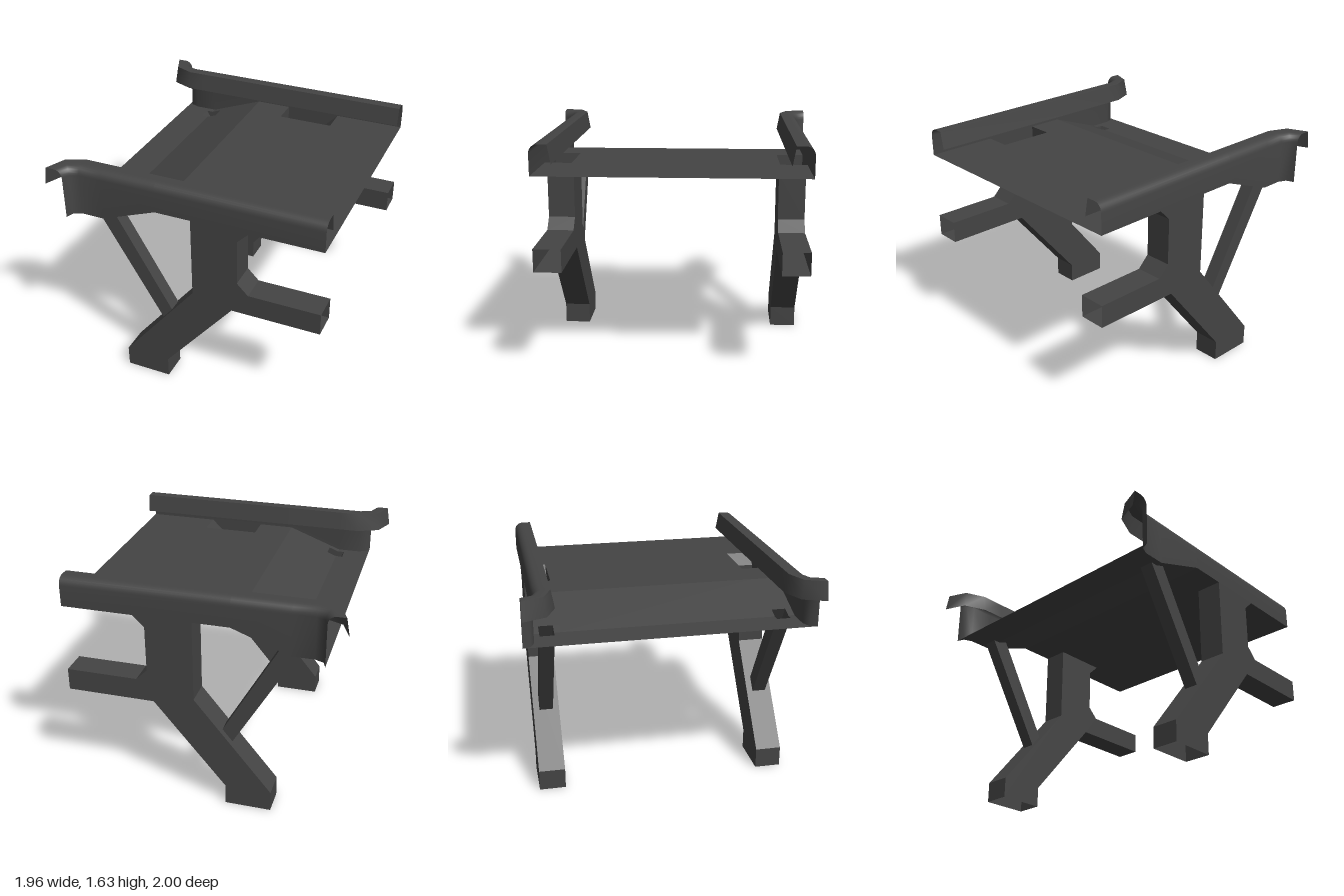
import * as THREE from 'three';
import { mergeGeometries, toCreasedNormals } from 'three/addons/utils/BufferGeometryUtils.js';

const material = new THREE.MeshStandardMaterial({ color: 0x444444, side: THREE.DoubleSide });

const FACE = 0.92;   // outer face of each side frame
const INNER = 0.73;  // inner face of each side frame

// Height of the deck and of the side panel's lower edge along x
function deckY(x) {
  const t = THREE.MathUtils.clamp((x + 0.6) / 0.4, 0, 1);
  return 1.27 + 0.15 * t;
}

function mesh(geometry, name) {
  const m = new THREE.Mesh(geometry, material);
  m.name = name;
  return m;
}

// Flat-shaded geometry from separate four-cornered faces
function quads(list) {
  const positions = [];
  for (const [a, b, c, d] of list) positions.push(...a, ...b, ...c, ...a, ...c, ...d);
  const g = new THREE.BufferGeometry();
  g.setAttribute('position', new THREE.Float32BufferAttribute(positions, 3));
  g.computeVertexNormals();
  return g;
}

// Hollow member: two flat faces and side walls, left open on the given edges
function hollow(outline, openEdges, z0, z1) {
  const shape = new THREE.Shape(outline.map(([x, y]) => new THREE.Vector2(x, y)));
  const faces = [z0, z1].map((z) => {
    const g = new THREE.ShapeGeometry(shape);
    if (z === z0) {
      const i = g.index.array;
      for (let k = 0; k < i.length; k += 3) [i[k], i[k + 1]] = [i[k + 1], i[k]];
    }
    const flat = g.translate(0, 0, z).toNonIndexed();
    flat.deleteAttribute('uv');
    flat.computeVertexNormals();
    return flat;
  });
  const walls = [];
  outline.forEach((a, i) => {
    if (openEdges.includes(i)) return;
    const b = outline[(i + 1) % outline.length];
    walls.push([[...a, z1], [...a, z0], [...b, z0], [...b, z1]]);
  });
  return mergeGeometries([...faces, quads(walls)]);
}

// Rail with side panel: stations pair a point on the outer wall with one on the inner lip
function railGeometry() {
  const stations = [
    [0.98, 0.92, 0.98, 0.775],
    [-0.2, 0.92, -0.2, 0.775],
    [-0.6, 0.92, -0.6, 0.775],
    [-0.76, 0.92, -0.76, 0.775],
    [-0.82, 0.945, -0.915, 0.84],
    [-0.84, 1.0, -0.98, 1.0],
  ];
  // Section as [fraction from wall to lip, height]
  const section = [];
  for (let i = 0; i <= 6; i++) {
    const a = (i / 6) * Math.PI / 2;
    section.push([0.4 * (1 - Math.cos(a)), 1.57 + 0.06 * Math.sin(a)]);
  }
  section.push([0.84, 1.63], [1, 1.5]);

  const rows = stations.map(([ox, oz, lx, lz]) =>
    [[0, deckY(ox)], ...section].map(([t, y]) => [ox + (lx - ox) * t, y, oz + (lz - oz) * t]));
  const faces = [];
  for (let i = 0; i < rows.length - 1; i++) {
    for (let j = 0; j < rows[i].length - 1; j++) {
      faces.push([rows[i][j], rows[i][j + 1], rows[i + 1][j + 1], rows[i + 1][j]]);
    }
  }
  return toCreasedNormals(quads(faces), 0.9);
}

// Deck patch between two x positions; far edge may be slanted
function patch(x0, x1, z0, z1, z1b = z1) {
  const y0 = deckY(x0), y1 = deckY(x1);
  return [[x0, y0, z0], [x0, y0, z1], [x1, y1, z1b], [x1, y1, z0]];
}

function sideGroup(name) {
  const side = new THREE.Group();
  side.name = name;

  // Leg, post and forward arm in one hollow outline; foot, arm end and top are open
  const frame = [
    [-0.49, 0], [-0.16, 0], [-0.16, 0.15], [0.35, 0.77], [0.98, 0.77], [0.98, 0.93], [0.47, 0.93],
    [0.39, 1.01], [0.39, 1.34], [0.47, 1.42], [0.06, 1.42], [0.06, 0.83], [-0.49, 0.15],
  ];
  side.add(mesh(hollow(frame, [0, 4, 9], INNER, FACE), 'legFrame'));

  // Diagonal brace, open at both ends
  const brace = [[-0.65, 1.27], [-0.2, 0.505], [-0.13, 0.595], [-0.53, deckY(-0.53)], [-0.6, 1.27]];
  side.add(mesh(hollow(brace, [1, 3, 4], 0.775, 0.875), 'brace'));

  side.add(mesh(railGeometry(), 'rail'));

  // Deck margin, leaving openings above the brace and the post
  side.add(mesh(quads([
    patch(-0.84, -0.82, INNER, 1.0, 0.945),
    patch(-0.82, -0.76, INNER, 0.945, FACE),
    patch(-0.76, -0.65, INNER, FACE),
    patch(-0.65, -0.6, INNER, 0.775),
    patch(-0.65, -0.6, 0.875, FACE),
    patch(-0.6, -0.53, INNER, 0.775),
    patch(-0.6, -0.53, 0.875, FACE),
    patch(-0.53, -0.2, INNER, FACE),
    patch(-0.2, 0.06, INNER, FACE),
    patch(0.47, 0.98, INNER, FACE),
  ]), 'deckMargin'));
  return side;
}

export function createModel() {
  const model = new THREE.Group();
  model.name = 'trestlePlatform';

  // Thin deck sheet, dipping toward one end
  model.add(mesh(quads([[-0.84, -0.6], [-0.6, -0.2], [-0.2, 0.98]]
    .map(([a, b]) => patch(a, b, -INNER, INNER))), 'deck'));

  // Mirrored sides
  const front = sideGroup('frontSide');
  const back = sideGroup('backSide');
  back.scale.z = -1;
  model.add(front, back);
  return model;
}
